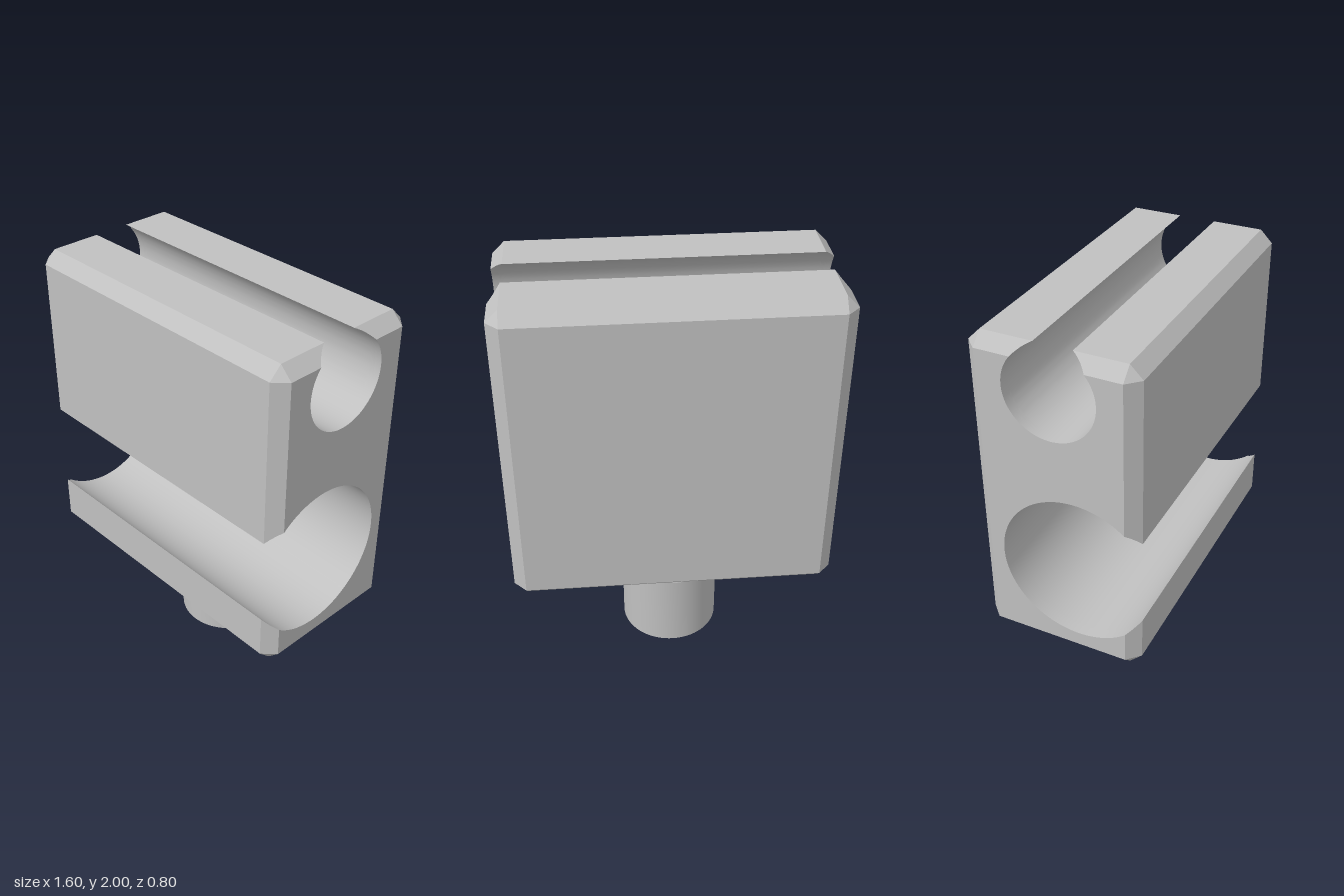
import * as THREE from 'three';
import { toCreasedNormals } from 'three/addons/utils/BufferGeometryUtils.js';

const HALF_X = 0.8, HALF_Z = 0.4, BOTTOM = 0.4, TOP = 2, BEVEL = 0.06;
const SLOT = { u: 0, v: 1.8, r: 0.22 };        // groove open at the top
const CHANNEL = { u: -0.1, v: 0.905, r: 0.375 }; // large groove open at the front
const ARC_STEPS = 72;

// Points on a groove wall between two angles
function arc({ u, v, r }, from, to) {
  return Array.from({ length: ARC_STEPS + 1 }, (_, i) => {
    const a = from + (to - from) * i / ARC_STEPS;
    return [u + r * Math.cos(a), v + r * Math.sin(a)];
  });
}

// Bevelled side outline (u = -z, v = y), with its flat sides drawn in by t
function section(t) {
  const w = HALF_Z - t, lo = BOTTOM + t, hi = TOP - t;
  const iw = HALF_Z - BEVEL, ilo = BOTTOM + BEVEL, ihi = TOP - BEVEL;
  const a = Math.asin((hi - SLOT.v) / SLOT.r);
  const b = Math.PI - Math.acos((w + CHANNEL.u) / CHANNEL.r);
  return [
    [-iw, lo], [iw, lo], [w, ilo], [w, ihi], [iw, hi],
    ...arc(SLOT, a, -Math.PI - a),
    [-iw, hi], [-w, ihi],
    ...arc(CHANNEL, b, -b),
    [-w, ilo],
  ];
}

function blockGeometry() {
  // Stations along x: each bevelled end is split finely so groove edges curve
  const steps = 8, stations = [];
  for (let i = 0; i <= steps; i++) {
    const t = BEVEL * i / steps;
    stations.push({ x: HALF_X - BEVEL + t, pts: section(t) });
    stations.unshift({ x: -(HALF_X - BEVEL + t), pts: section(t) });
  }
  const pos = [];
  const tri = (a, b, c) => {
    const [p, q, r] = [a, b, c].map(k => new THREE.Vector3(...k));
    if (q.sub(p).cross(r.sub(p)).length() > 1e-10) pos.push(...a, ...b, ...c);
  };
  const at = (x, [u, v]) => [x, v, -u];

  // Skin between neighbouring stations
  for (let s = 0; s + 1 < stations.length; s++) {
    const A = stations[s], B = stations[s + 1], n = A.pts.length;
    for (let i = 0; i < n; i++) {
      const j = (i + 1) % n;
      const a = at(A.x, A.pts[i]), b = at(A.x, A.pts[j]);
      const c = at(B.x, B.pts[j]), d = at(B.x, B.pts[i]);
      tri(a, b, c);
      tri(a, c, d);
    }
  }

  // Flat ends
  const all = section(BEVEL).map(p => new THREE.Vector2(...p));
  const rim = all.filter((p, i) => p.distanceTo(all[(i + 1) % all.length]) > 1e-6);
  for (const [i, j, k] of THREE.ShapeUtils.triangulateShape(rim, [])) {
    const [a, b, c] = [rim[i], rim[j], rim[k]].map(p => [p.x, p.y]);
    tri(at(HALF_X, a), at(HALF_X, b), at(HALF_X, c));
    tri(at(-HALF_X, a), at(-HALF_X, c), at(-HALF_X, b));
  }

  const g = new THREE.BufferGeometry();
  g.setAttribute('position', new THREE.Float32BufferAttribute(pos, 3));
  return toCreasedNormals(g, 0.3);
}

export function createModel() {
  const grey = new THREE.MeshStandardMaterial({ color: 0xc0c0c0 });
  grey.name = 'grey';
  const model = new THREE.Group();
  model.name = 'grooved block';

  const block = new THREE.Mesh(blockGeometry(), grey);
  block.name = 'block';

  // Round peg with a blind bore in its underside
  const profile = [[0, 0.38], [0.08, 0.38], [0.08, 0], [0.247, 0], [0.247, BOTTOM]]
    .map(p => new THREE.Vector2(...p));
  const peg = new THREE.Mesh(toCreasedNormals(new THREE.LatheGeometry(profile, 64), 0.5), grey);
  peg.name = 'peg';
  peg.position.z = -0.1;

  model.add(block, peg);
  return model;
}
